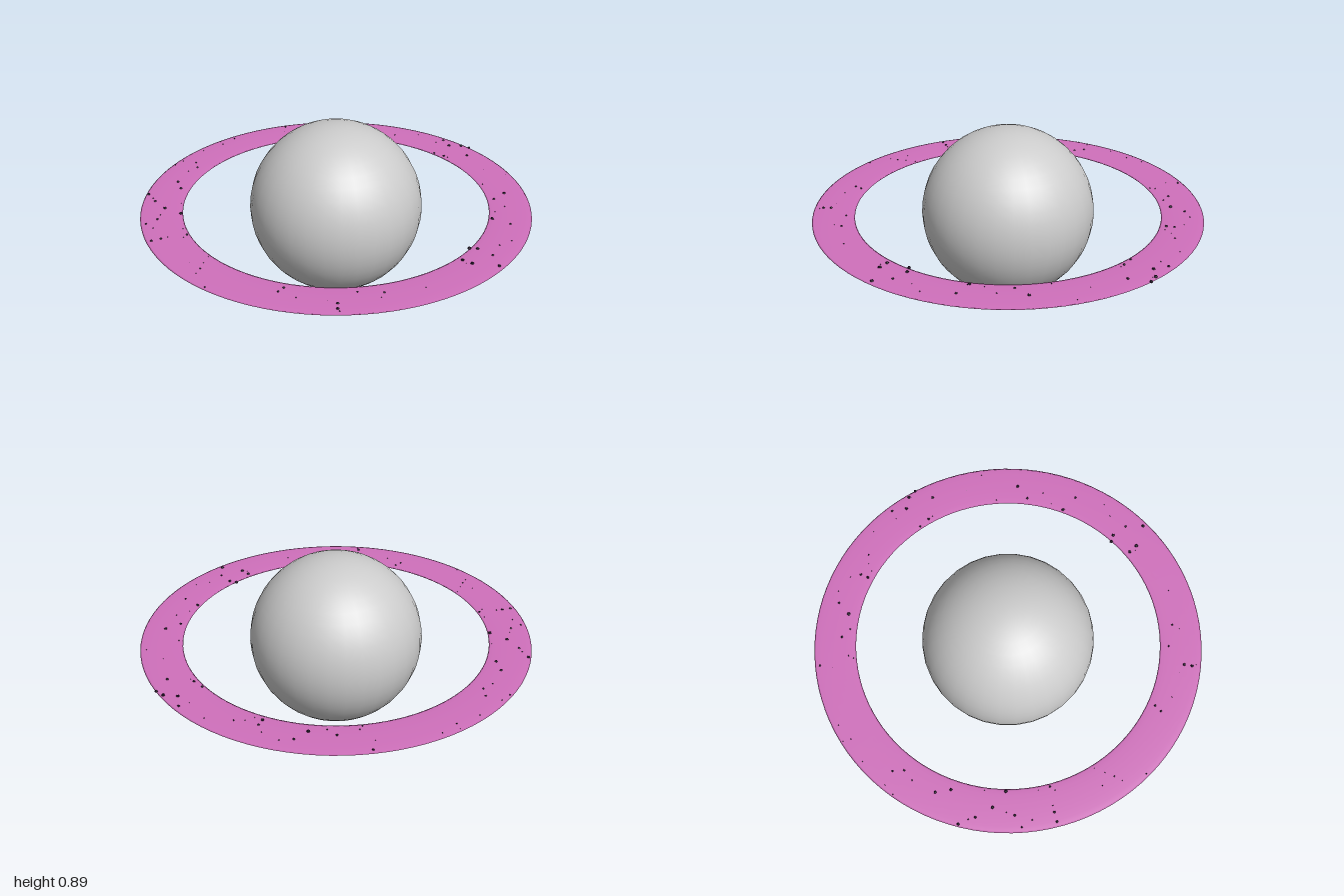
import * as THREE from 'three';

const RING_Y = 0.455;
const RING_MID = 0.8925, RING_HALF = 0.1075, RING_THICK = 0.004;

// x, z, radius of the larger rocks resting on the ring
const ROCKS = [
  [-0.11, -0.835, 0.01], [-0.065, -0.905, 0.007], [-0.24, -0.825, 0.007], [0.12, -0.85, 0.007],
  [0.115, -0.81, 0.008], [0.24, -0.85, 0.005], [0.525, -0.815, 0.007], [0.56, -0.745, 0.009],
  [0.63, -0.755, 0.009], [0.675, -0.735, 0.008], [0.665, -0.63, 0.008], [0.535, -0.61, 0.007],
  [0.48, -0.64, 0.006], [0.865, -0.205, 0.009], [0.81, -0.135, 0.007], [0.8, 0.07, 0.008],
  [0.89, 0.115, 0.007], [0.69, 0.37, 0.009], [0.73, 0.37, 0.009], [0.8, 0.42, 0.007],
  [0.66, 0.48, 0.009], [0.705, 0.505, 0.01], [0.83, 0.51, 0.009], [0.125, 0.905, 0.008],
  [0.13, 0.945, 0.008], [-0.13, 0.815, 0.006], [-0.15, 0.85, 0.006], [0.2, 0.805, 0.005],
  [0.32, 0.795, 0.006], [-0.835, 0.5, 0.007], [-0.795, 0.475, 0.007], [-0.68, 0.42, 0.006],
  [-0.765, 0.22, 0.009], [-0.86, 0.18, 0.009], [-0.93, 0.115, 0.007], [-0.985, 0.045, 0.008],
  [-0.87, -0.11, 0.008], [-0.835, -0.04, 0.008], [-0.865, 0.295, 0.007], [-0.91, 0.345, 0.005],
  [-0.81, -0.29, 0.006], [-0.83, -0.345, 0.006], [-0.42, -0.88, 0.006], [-0.54, 0.71, 0.005],
];

// Small seeded generator, 0..1
function seeded(seed) {
  let s = seed;
  return () => (s = (s * 16807) % 2147483647) / 2147483647;
}

export function createModel() {
  const model = new THREE.Group();
  model.name = 'ringedPlanet';

  // Planet body
  const planet = new THREE.Mesh(
    new THREE.SphereGeometry(0.444, 32, 24),
    new THREE.MeshStandardMaterial({ color: 0xcccccc })
  );
  planet.name = 'planet';
  planet.position.y = 0.444;
  model.add(planet);

  // Ring: a torus pressed almost flat
  const ringShape = new THREE.TorusGeometry(RING_MID, RING_HALF, 16, 100);
  ringShape.rotateX(Math.PI / 2);
  ringShape.scale(1, RING_THICK / RING_HALF, 1);
  const ring = new THREE.Mesh(ringShape, new THREE.MeshStandardMaterial({ color: 0xd070bc }));
  ring.name = 'ring';
  ring.position.y = RING_Y;
  model.add(ring);

  // Rocks embedded in the ring
  const rocks = new THREE.Group();
  rocks.name = 'ringRocks';
  const rockShape = new THREE.IcosahedronGeometry(1, 0);
  const rockMaterial = new THREE.MeshStandardMaterial({ color: 0x2a1530, flatShading: true });
  const random = seeded(4711);
  const addRock = (x, y, z, r) => {
    const rock = new THREE.Mesh(rockShape, rockMaterial);
    rock.name = 'rock';
    rock.position.set(x, y, z);
    rock.rotation.set(random() * 6, random() * 6, random() * 6);
    rock.scale.setScalar(r);
    rocks.add(rock);
  };
  for (const [x, z, r] of ROCKS) addRock(x, RING_Y + 0.003, z, r);

  // Fine grains above, and matching rocks below
  const scatter = (count, side, rMin, rMax) => {
    for (let i = 0; i < count; i++) {
      const a = random() * Math.PI * 2;
      const d = RING_MID + (random() - 0.5) * 1.8 * RING_HALF;
      const r = rMin + (rMax - rMin) * random();
      addRock(Math.cos(a) * d, RING_Y + side * 0.004, Math.sin(a) * d, r);
    }
  };
  scatter(45, 1, 0.002, 0.004);
  scatter(60, -1, 0.002, 0.008);
  model.add(rocks);

  return model;
}
